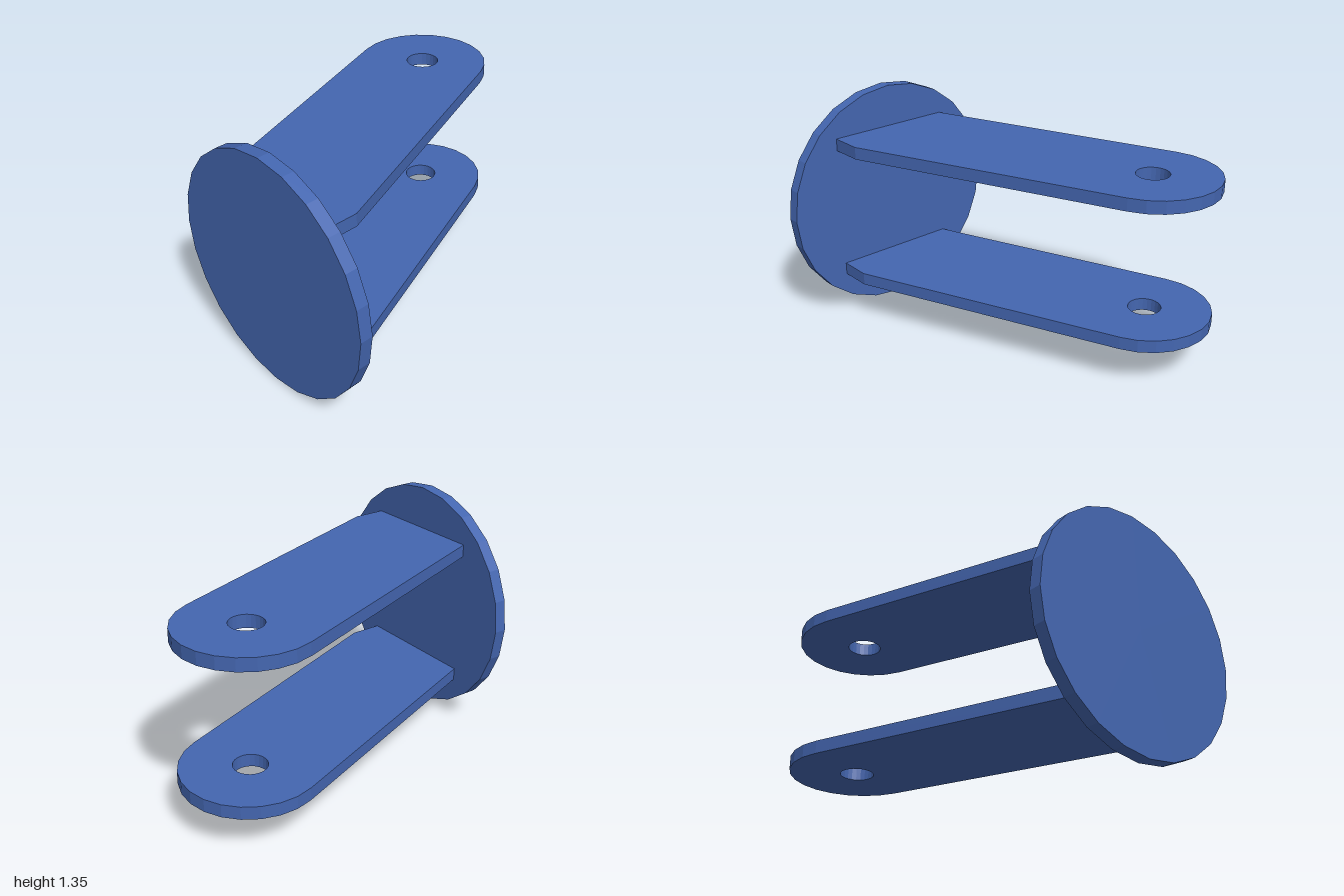
import * as THREE from 'three';

const material = new THREE.MeshStandardMaterial({ color: 0x4466b0, flatShading: true });
const THICKNESS = 0.072;

// Points along an arc, both ends included
function arcPoints(cx, cy, r, from, to, steps) {
  return Array.from({ length: steps + 1 }, (_, i) => {
    const a = from + ((to - from) * i) / steps;
    return new THREE.Vector2(cx + r * Math.cos(a), cy + r * Math.sin(a));
  });
}

// Slanted arm outline in plan (shape y becomes z): rounded far end with a pin hole
function armGeometry() {
  const px = -0.431, pz = -0.63, lean = THREE.MathUtils.degToRad(20.9);
  const shape = new THREE.Shape([
    new THREE.Vector2(-0.242, 0.93),
    new THREE.Vector2(0.5, 0.93),
    new THREE.Vector2(0.5, 0.74),
    ...arcPoints(px, pz, 0.37, -lean, -lean - Math.PI, 12),
  ]);
  const hole = arcPoints(px, pz, 0.092, 0, Math.PI * 2, 24).slice(0, -1);
  shape.holes.push(new THREE.Path(hole));
  const geometry = new THREE.ExtrudeGeometry(shape, { depth: THICKNESS, bevelEnabled: false });
  return geometry.rotateX(Math.PI / 2);
}

export function createModel() {
  const model = new THREE.Group();
  model.name = 'clevisBracket';

  // Round mounting plate, facing the front
  const disc = new THREE.CylinderGeometry(0.675, 0.675, THICKNESS, 24);
  disc.rotateY(Math.PI / 2).rotateX(Math.PI / 2);
  const plate = new THREE.Mesh(disc, material);
  plate.name = 'mountingPlate';
  plate.position.set(0.127, 0.675, 1 - THICKNESS / 2);
  model.add(plate);

  // Two identical arms, placed by their top faces
  const arm = armGeometry();
  for (const [name, top] of [['lowerArm', 0.317], ['upperArm', 1.107]]) {
    const mesh = new THREE.Mesh(arm, material);
    mesh.name = name;
    mesh.position.y = top;
    model.add(mesh);
  }
  return model;
}
